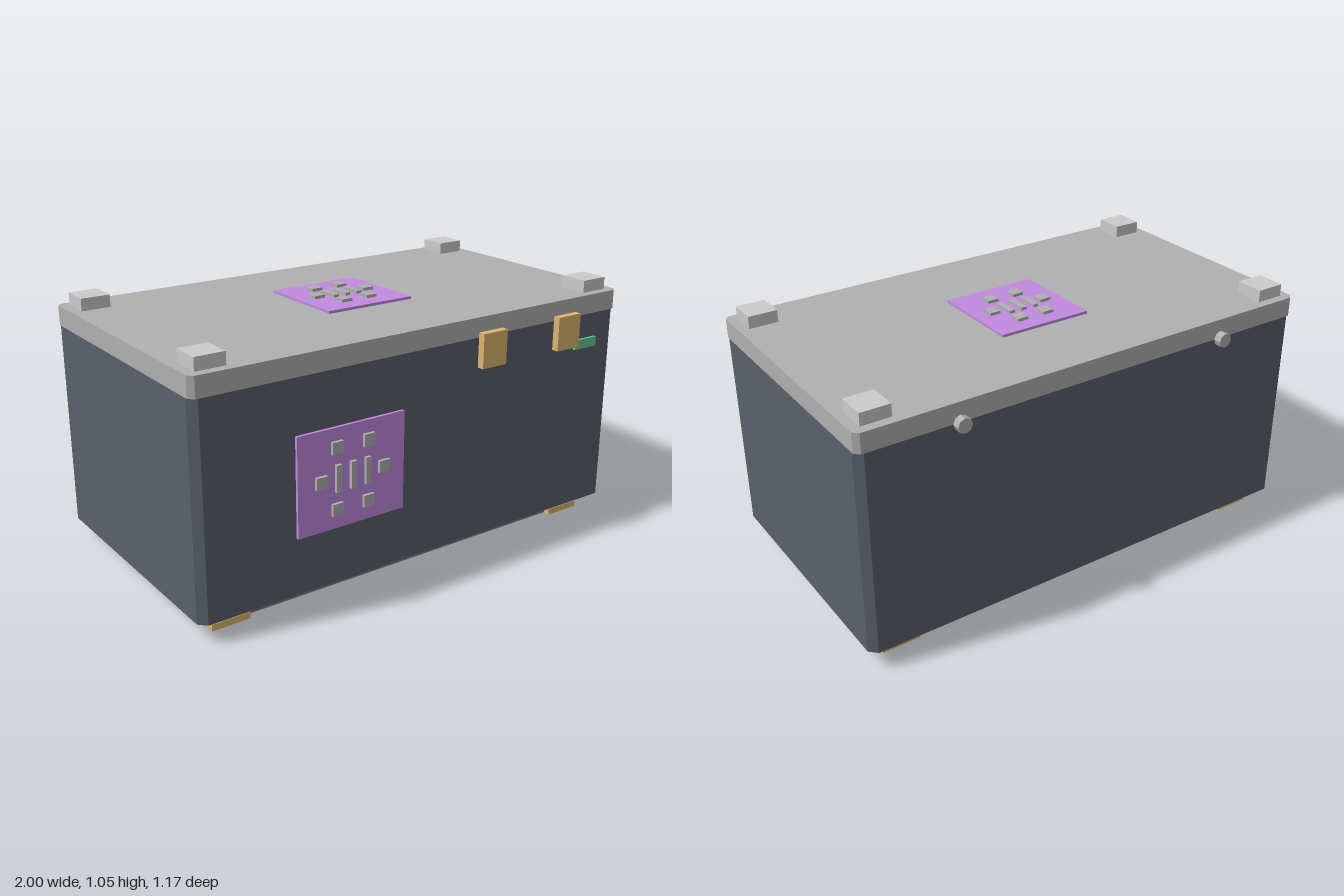
import * as THREE from 'three';

const paint = (color) => new THREE.MeshStandardMaterial({ color, flatShading: true });
const MAT = {
  shell: paint(0x5a616c),
  lid: paint(0xb0b0b0),
  grey: paint(0xcccccc),
  runner: paint(0x7a7d83),
  brass: paint(0xdcb572),
  purple: paint(0xc08be0),
  green: paint(0x6cc49a),
  rubber: paint(0x444448),
};

// Box given by its size and centre
function box(parent, name, mat, [w, h, d], [x, y, z]) {
  const mesh = new THREE.Mesh(new THREE.BoxGeometry(w, h, d), mat);
  mesh.name = name;
  mesh.position.set(x, y, z);
  parent.add(mesh);
  return mesh;
}

// Upright block whose four vertical corners are chamfered by c
function chamferedBlock(parent, name, mat, hx, hz, c, y0, y1) {
  const shape = new THREE.Shape([
    [hx - c, -hz], [hx, c - hz], [hx, hz - c], [hx - c, hz],
    [c - hx, hz], [-hx, hz - c], [-hx, c - hz], [c - hx, -hz],
  ].map(([x, z]) => new THREE.Vector2(x, z)));
  const geo = new THREE.ExtrudeGeometry(shape, { depth: y1 - y0, bevelEnabled: false });
  geo.rotateX(-Math.PI / 2);
  const mesh = new THREE.Mesh(geo, mat);
  mesh.name = name;
  mesh.position.y = y0;
  parent.add(mesh);
}

// Panel lying in its own xy plane and facing +z, with six keys and three bars
function controlPanel(name, { w, h, t, keyX, keyY, sideX, barX, barH, rise, rowY }) {
  const panel = new THREE.Group();
  panel.name = name;
  box(panel, 'panelPlate', MAT.purple, [w, h, t], [0, 0, t / 2]);
  const key = (x, y, kw, kh, part) =>
    box(panel, part, MAT.lid, [kw, kh, rise], [x, y, rise / 2]);
  for (const s of [-1, 1]) {
    for (const v of [-1, 1]) key(s * keyX, v * keyY + rowY, 0.048, 0.048, 'panelKey');
    key(s * sideX, rowY, 0.048, 0.048, 'panelKey');
  }
  for (const i of [-1, 0, 1]) key(i * barX, rowY, 0.024, barH, 'panelBar');
  return panel;
}

export function createModel() {
  const model = new THREE.Group();
  model.name = 'crate';

  // Main shell and lid
  chamferedBlock(model, 'body', MAT.shell, 1, 0.555, 0.03, 0.08, 0.92);
  chamferedBlock(model, 'lid', MAT.lid, 1, 0.555, 0.02, 0.92, 1);

  for (const sz of [-1, 1]) {
    // Long runners underneath
    box(model, 'runner', MAT.runner, [1.8, 0.075, 0.12], [0, 0.0425, sz * 0.395]);
    for (const sx of [-1, 1]) {
      // Feet with inset pads, and stacking blocks on the lid
      box(model, 'foot', MAT.brass, [0.16, 0.027, 0.176], [sx * 0.84, 0.0165, sz * 0.395]);
      box(model, 'footPad', MAT.rubber, [0.11, 0.01, 0.125], [sx * 0.84, 0.005, sz * 0.395]);
      box(model, 'cornerBlock', MAT.grey, [0.12, 0.05, 0.12], [sx * 0.9, 1.025, sz * 0.457]);
    }
  }

  // Latches and indicator on the front
  for (const x of [0.3, 0.7]) box(model, 'latch', MAT.brass, [0.12, 0.14, 0.03], [x, 0.87, 0.57]);
  box(model, 'indicator', MAT.green, [0.12, 0.04, 0.012], [0.82, 0.8, 0.561]);

  // Hinge studs on the back
  for (const x of [-0.6, 0.6]) {
    const stud = new THREE.Mesh(new THREE.CylinderGeometry(0.03, 0.03, 0.035, 8), MAT.lid);
    stud.name = 'hingeStud';
    stud.rotation.x = Math.PI / 2;
    stud.position.set(x, 0.92, -0.57);
    model.add(stud);
  }

  // Control panels on the front and the lid
  const front = controlPanel('frontPanel', {
    w: 0.475, h: 0.395, t: 0.012, keyX: 0.07, keyY: 0.121, sideX: 0.14,
    barX: 0.066, barH: 0.107, rise: 0.025, rowY: 0.002,
  });
  front.position.set(-0.3625, 0.508, 0.555);
  const top = controlPanel('topPanel', {
    w: 0.4, h: 0.4, t: 0.011, keyX: 0.06, keyY: 0.105, sideX: 0.12,
    barX: 0.056, barH: 0.095, rise: 0.023, rowY: 0.005,
  });
  top.rotation.x = -Math.PI / 2;
  top.position.set(0, 1, -0.015);
  model.add(front, top);

  return model;
}
